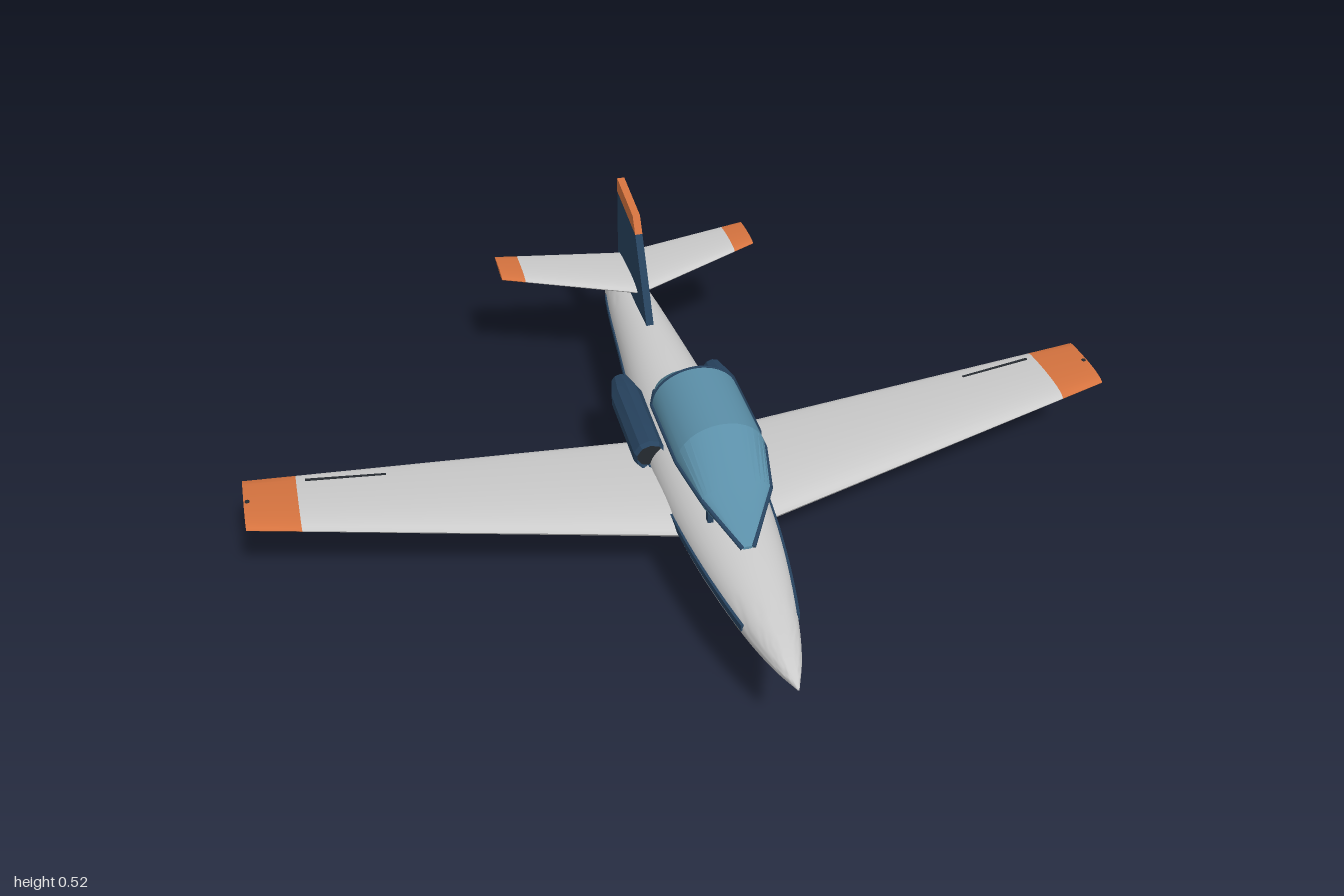
import * as THREE from 'three';
import { toCreasedNormals } from 'three/addons/utils/BufferGeometryUtils.js';

const paint = (color) => new THREE.MeshStandardMaterial({ color });
const white = paint(0xcccccc), navy = paint(0x27435f), orange = paint(0xd5733f);
const teal = paint(0x5b8fa8), metal = paint(0x9aabb2), dark = paint(0x252a30);

// Skin over closed rings of Vector3, with both ends capped
function loft(rings, crease = 0.6) {
  const n = rings[0].length, pos = [], idx = [];
  rings.forEach((r) => r.forEach((p) => pos.push(p.x, p.y, p.z)));
  for (let i = 0; i < rings.length - 1; i++) {
    for (let j = 0; j < n; j++) {
      const a = i * n + j, b = i * n + (j + 1) % n;
      idx.push(a, a + n, b, b, a + n, b + n);
    }
  }
  const last = (rings.length - 1) * n;
  for (let j = 1; j < n - 1; j++) {
    idx.push(0, j, j + 1, last, last + j + 1, last + j);
  }
  const g = new THREE.BufferGeometry();
  g.setAttribute('position', new THREE.Float32BufferAttribute(pos, 3));
  g.setIndex(idx);
  return toCreasedNormals(g, crease);
}

const ring = (n, f) => Array.from({ length: n }, (_, j) => f((j / n) * Math.PI * 2));

// Fuselage stations: z, half width, top, bottom
const BODY = [
  [0.77, 0.002, 0.187, 0.183], [0.7, 0.03, 0.21, 0.163], [0.6, 0.057, 0.229, 0.143], [0.4, 0.092, 0.253, 0.119],
  [0.2, 0.111, 0.266, 0.108], [0, 0.113, 0.271, 0.105], [-0.2, 0.096, 0.271, 0.11], [-0.4, 0.078, 0.267, 0.12],
  [-0.6, 0.06, 0.252, 0.133], [-0.72, 0.044, 0.236, 0.143],
];
const widths = new THREE.CatmullRomCurve3(BODY.map(([z, w]) => new THREE.Vector3(w, 0, z)));
const heights = new THREE.CatmullRomCurve3(BODY.map(([z, , t, b]) => new THREE.Vector3(t, b, z)));
function bodyAt(t) {
  const w = widths.getPoint(t), h = heights.getPoint(t);
  return { z: h.z, w: w.x, y: (h.x + h.y) / 2, h: (h.x - h.y) / 2 };
}

// Wing-like panel running from x0 down to x1; root and tip give { x, le, te, y, t }
function panel(root, tip, xs) {
  return loft(xs.map((x) => {
    const k = Math.abs(x) / tip.x, mix = (key) => THREE.MathUtils.lerp(root[key], tip[key], k);
    return ring(28, (a) => new THREE.Vector3(x,
      mix('y') + mix('t') * Math.sin(a) * (1 - 0.4 * Math.cos(a)),
      mix('le') + (mix('te') - mix('le')) * (1 + Math.cos(a)) / 2));
  }), 0.7);
}

// Straight round rod between two points
function rod(a, b, r) {
  const p = new THREE.Vector3(...a), q = new THREE.Vector3(...b), d = q.clone().sub(p);
  const g = new THREE.CylinderGeometry(r, r, d.length(), 10);
  g.applyQuaternion(new THREE.Quaternion().setFromUnitVectors(new THREE.Vector3(0, 1, 0), d.normalize()));
  return g.translate(...p.add(q).multiplyScalar(0.5).toArray());
}

// Turned part lying along z; the profile runs towards the rear
const turned = (pts, seg) => new THREE.LatheGeometry(pts.map((p) => new THREE.Vector2(...p)), seg).rotateX(-Math.PI / 2);

// Flat plate in the z-y plane
function plate(pts, thick) {
  const s = new THREE.Shape(pts.map((p) => new THREE.Vector2(...p)));
  return new THREE.ExtrudeGeometry(s, { depth: thick, bevelEnabled: false })
    .translate(0, 0, -thick / 2).rotateY(-Math.PI / 2);
}

export function createModel() {
  const model = new THREE.Group();
  model.name = 'jetAircraft';
  const add = (name, geo, mat, parent = model) => {
    const m = new THREE.Mesh(geo, mat);
    m.name = name;
    parent.add(m);
    return m;
  };

  // Fuselage and tail nozzle
  const stations = Array.from({ length: 49 }, (_, i) => bodyAt(i / 48));
  add('fuselage', loft(stations.map((s) => ring(36, (a) =>
    new THREE.Vector3(s.w * Math.cos(a), s.y + s.h * Math.sin(a), s.z)))), white);
  const nozzle = turned([[0.036, 0], [0.042, 0.01], [0.042, 0.07], [0.033, 0.07], [0.028, 0.025]], 24);
  add('nozzle', toCreasedNormals(nozzle, 0.5), metal).position.set(0, 0.188, -0.7);
  add('nozzleCore', new THREE.CircleGeometry(0.03, 24).rotateY(Math.PI), dark).position.set(0, 0.188, -0.728);

  // Side stripes hugging the hull
  const striped = stations.filter((s) => s.z < 0.61 && s.z > -0.655);
  for (const side of [1, -1]) {
    const rings = striped.map((s) => [[-0.01, -0.008], [0.003, -0.008], [0.003, 0.008], [-0.01, 0.008]]
      .map(([dx, dy]) => new THREE.Vector3(side * (s.w + dx), 0.193 + dy, s.z)));
    if (side < 0) rings.forEach((r) => r.reverse());
    add('sideStripe', loft(rings, 0.5), navy);
  }

  // Main wing and tailplane, each with coloured tips
  const surfaces = [
    ['wing', { le: 0.297, te: -0.06, y: 0.175, t: 0.027 }, { x: 1, le: 0.05, te: -0.12, y: 0.213, t: 0.009 }, 0.885],
    ['tailplane', { le: -0.48, te: -0.675, y: 0.307, t: 0.012 }, { x: 0.325, le: -0.6, te: -0.71, y: 0.326, t: 0.006 }, 0.27],
  ];
  for (const [name, root, tip, cut] of surfaces) {
    add(name, panel(root, tip, [cut, 0, -cut]), white);
    add(name + 'TipLeft', panel(root, tip, [tip.x, cut]), orange);
    add(name + 'TipRight', panel(root, tip, [-cut, -tip.x]), orange);
  }

  // Fin with coloured cap
  add('fin', plate([[-0.39, 0.26], [-0.492, 0.468], [-0.679, 0.485], [-0.697, 0.258]], 0.018), navy);
  add('finCap', plate([[-0.492, 0.468], [-0.514, 0.508], [-0.675, 0.524], [-0.679, 0.485]], 0.018), orange);

  // Canopy stations: z, half width, rail height, top
  const glass = [
    [0.43, 0.012, 0.256, 0.26], [0.34, 0.075, 0.328, 0.352], [0.225, 0.098, 0.344, 0.425],
    [0.015, 0.098, 0.342, 0.425], [-0.09, 0.066, 0.298, 0.345], [-0.138, 0.015, 0.276, 0.284],
  ];
  const canopyRing = ([z, w, rail, top]) => ring(32, (a) => {
    const s = Math.sin(a), low = Math.max(rail - 0.256, 0.003);
    const x = s >= 0 ? w * Math.cos(a) : w * Math.sign(Math.cos(a)) * Math.abs(Math.cos(a)) ** 1.3;
    return new THREE.Vector3(x, rail + s * (s >= 0 ? top - rail : low), z);
  });
  add('canopy', loft(glass.map(canopyRing), 0.35), teal);

  // Canopy rails, hoop and sill brackets
  for (const side of [1, -1]) {
    const pts = glass.map(([z, w, rail]) => [side * w, rail, z]);
    for (let i = 1; i < pts.length; i++) add('canopyRail', rod(pts[i - 1], pts[i], 0.005), navy);
    add('sillPost', new THREE.BoxGeometry(0.012, 0.05, 0.016), navy).position.set(side * 0.055, 0.287, 0.333);
    add('sillBracket', new THREE.BoxGeometry(0.02, 0.02, 0.12), navy).position.set(side * 0.058, 0.278, 0.12);
  }
  const hoop = new THREE.CatmullRomCurve3(canopyRing(glass[3]).slice(0, 17));
  add('canopyHoop', new THREE.TubeGeometry(hoop, 24, 0.003, 6), navy);

  // Engine pods, hinge lines and wing lights
  for (const side of [1, -1]) {
    const pod = turned([[0.03, 0.012], [0.033, 0], [0.038, 0.012], [0.038, 0.23], [0.023, 0.295], [0, 0.295]], 10);
    add('enginePod', toCreasedNormals(pod, 0.3), navy).position.set(side * 0.113, 0.229, 0.058);
    add('intake', new THREE.CircleGeometry(0.031, 20), dark).position.set(side * 0.113, 0.229, 0.047);
    add('aileronLine', rod([side * 0.69, 0.209, -0.065], [side * 0.865, 0.215, -0.085], 0.003), dark);
    add('wingLight', new THREE.SphereGeometry(0.006, 10, 8), dark).position.set(side * 0.992, 0.22, -0.035);
  }

  // Landing gear
  for (const [name, x, z, top] of [['noseGear', 0, 0.4, [0, 0.13, 0.383]],
    ['leftGear', 0.235, -0.035, [0.07, 0.135, 0.04]], ['rightGear', -0.235, -0.035, [-0.07, 0.135, 0.04]]]) {
    const gear = new THREE.Group();
    gear.name = name;
    model.add(gear);
    const tyre = new THREE.LatheGeometry([[0.014, -0.014], [0.034, -0.015], [0.041, -0.009], [0.042, 0],
      [0.041, 0.009], [0.034, 0.015], [0.014, 0.014]].map((p) => new THREE.Vector2(...p)), 28).rotateZ(Math.PI / 2);
    add('tyre', tyre, dark, gear).position.set(x, 0.042, z);
    add('hub', new THREE.CylinderGeometry(0.015, 0.015, 0.034, 18).rotateZ(Math.PI / 2), metal, gear).position.set(x, 0.042, z);
    const foot = [x - Math.sign(x) * 0.012, 0.05, z];
    add('strut', rod(top, foot, 0.007), metal, gear);
  }
  return model;
}
